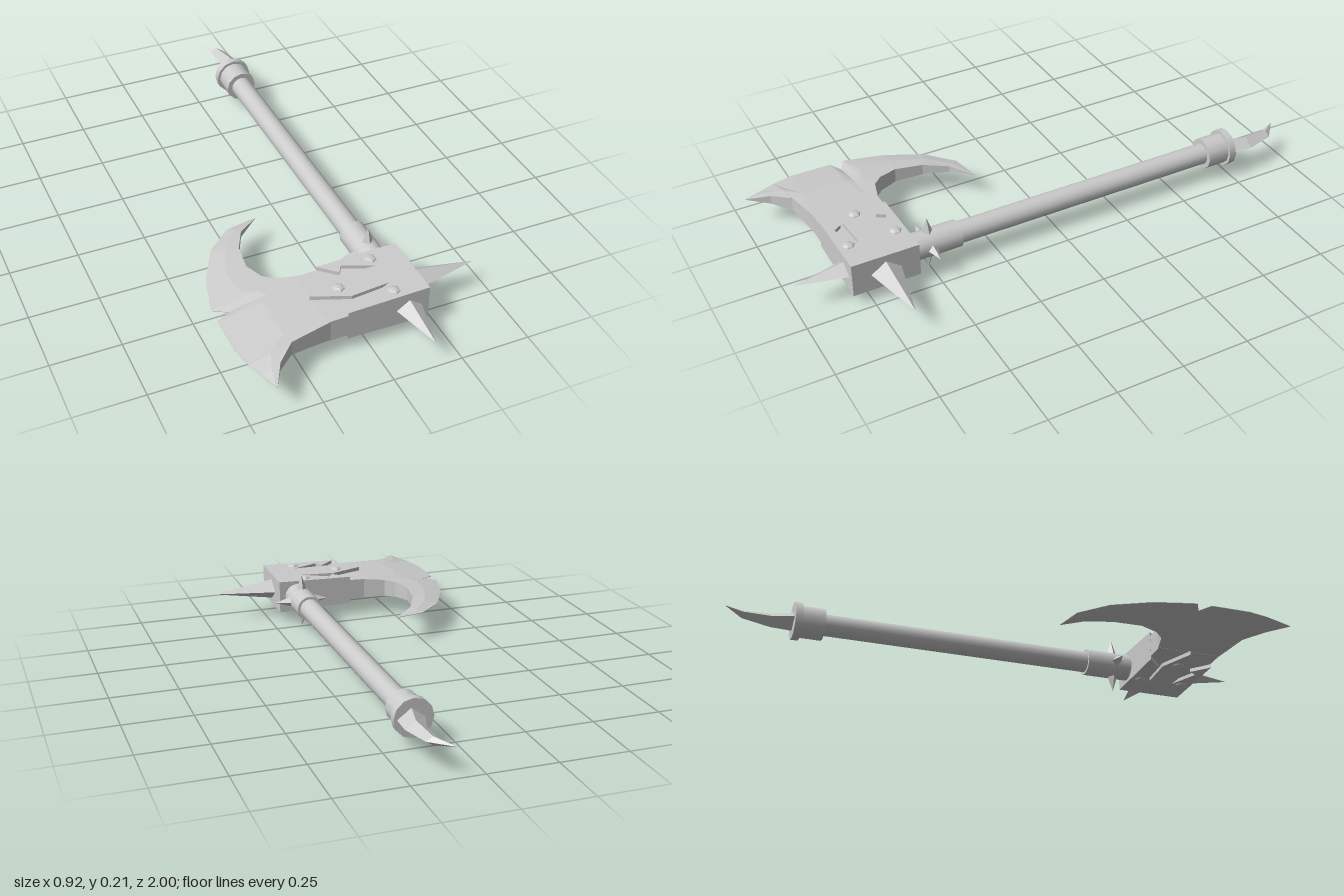
import * as THREE from 'three';

const Y = 0.11;    // height of the weapon's middle plane
const AX = 0.145;  // x of the handle axis
const flat = new THREE.MeshStandardMaterial({ color: 0xcccccc, flatShading: true });
const smooth = new THREE.MeshStandardMaterial({ color: 0xcccccc });

// Closed skin over sections (lists of [x, y, z]) that run anticlockwise seen from the last one
function loft(sections) {
  const pos = [];
  const tri = (a, b, c) => pos.push(...a, ...b, ...c);
  const n = sections[0].length;
  for (let i = 0; i < sections.length - 1; i++) {
    const a = sections[i], b = sections[i + 1];
    for (let j = 0; j < n; j++) {
      const k = (j + 1) % n;
      tri(a[j], a[k], b[k]);
      tri(a[j], b[k], b[j]);
    }
  }
  const first = sections[0], last = sections[sections.length - 1];
  for (let j = 1; j < n - 1; j++) {
    tri(first[0], first[j + 1], first[j]);
    tri(last[0], last[j], last[j + 1]);
  }
  const g = new THREE.BufferGeometry();
  g.setAttribute('position', new THREE.Float32BufferAttribute(pos, 3));
  g.computeVertexNormals();
  return g;
}

export function createModel() {
  const root = new THREE.Group();
  const add = (name, geometry, material = flat) => {
    const m = new THREE.Mesh(geometry, material);
    m.name = name;
    root.add(m);
    return m;
  };

  // Round parts along the handle axis
  const rod = (name, r, z0, z1, sides) =>
    add(name, new THREE.CylinderGeometry(r, r, z1 - z0, sides).rotateX(Math.PI / 2)
      .translate(AX, Y, (z0 + z1) / 2), smooth);
  rod('handle', 0.04, -0.66, 0.42, 16);
  rod('headCollar', 0.05, 0.39, 0.6, 16);
  rod('pommel', 0.059, -0.74, -0.64, 12);
  rod('pommelRim', 0.07, -0.752, -0.725, 12);

  // Curved pommel horn: [x, z, half width, half height]
  const horn = [[0.152, -0.74, 0.05, 0.038], [0.168, -0.83, 0.037, 0.027],
    [0.152, -0.935, 0.024, 0.015], [0.1, -1, 0.001, 0.001]];
  add('pommelHorn', loft(horn.map(([x, z, w, h]) =>
    [[x - w, Y, z], [x, Y + h, z], [x + w, Y, z], [x, Y - h, z]])));

  // Blade ribs: [cutting edge x, z, inner edge x, z, inner half thickness]
  const ribs = [
    [-0.141, 0.178, -0.14, 0.181, 0.001],
    [-0.255, 0.2, -0.22, 0.245, 0.012],
    [-0.35, 0.285, -0.265, 0.335, 0.021],
    [-0.42, 0.42, -0.28, 0.44, 0.027],
    [-0.447, 0.52, -0.255, 0.51, 0.031],
    [-0.457, 0.56, -0.22, 0.545, 0.034],
    [-0.46, 0.577, -0.14, 0.568, 0.039],
    [-0.41, 0.603, -0.14, 0.6, 0.039],
    [-0.46, 0.63, -0.14, 0.63, 0.039],
    [-0.46, 0.78, -0.14, 0.815, 0.039],
    [-0.443, 0.86, -0.29, 0.84, 0.028],
    [-0.422, 0.92, -0.355, 0.9, 0.017],
    [-0.401, 0.98, -0.399, 0.979, 0.001],
  ];
  const edge = 0.001;
  add('blade', loft(ribs.map(([ox, oz, ix, iz, h]) => {
    const mx = (ox + ix) / 2, mz = (oz + iz) / 2, mh = h * 0.72;
    return [[ox, Y + edge, oz], [ox, Y - edge, oz], [mx, Y - mh, mz],
      [ix, Y - h, iz], [ix, Y + h, iz], [mx, Y + mh, mz]];
  })));

  // Wedge-shaped core of the head
  const core = [[-0.15, 0.039], [0.215, 0.052]];
  add('headCore', loft(core.map(([x, h]) =>
    [[x, Y - h, 0.568], [x, Y + h, 0.568], [x, Y + h, 0.815], [x, Y - h, 0.815]])));

  // Notched cheek plates, thinning toward the blade
  const half = [[0.218, 0.567], [-0.08, 0.567], [-0.02, 0.625], [0, 0.595], [0.105, 0.645], [-0.033, 0.637]];
  const outline = [...half, [-0.16, 0.692], ...half.map(([x, z]) => [x, 1.384 - z]).reverse()];
  const plateHeight = x => 0.0535 + (x + 0.16) * 0.026;
  const plates = new THREE.ExtrudeGeometry(
    new THREE.Shape(outline.map(p => new THREE.Vector2(...p))), { depth: 2, bevelEnabled: false });
  plates.translate(0, 0, -1).rotateX(Math.PI / 2);
  const p = plates.attributes.position;
  for (let i = 0; i < p.count; i++) p.setY(i, Y + Math.sign(p.getY(i)) * plateHeight(p.getX(i)));
  plates.computeVertexNormals();
  add('cheekPlates', plates);

  // Rivets on both cheeks
  for (const side of [1, -1]) {
    for (const [x, z] of [[0.103, 0.605], [-0.057, 0.692], [0.103, 0.779]]) {
      const rivet = add('rivet', new THREE.SphereGeometry(0.024, 6, 3, Math.PI / 6, Math.PI * 2, 0, Math.PI / 2));
      rivet.scale.y = 0.45;
      rivet.position.set(x, Y + side * (plateHeight(x) - 0.002), z);
      if (side < 0) rivet.rotation.x = Math.PI;
    }
  }

  // Four-sided spikes: base point, direction, length, two half widths
  const spike = (name, base, dir, length, a, b) => {
    const m = add(name, new THREE.ConeGeometry(1, 1, 4).translate(0, 0.5, 0).scale(a, length, b));
    m.position.set(...base);
    m.quaternion.setFromUnitVectors(new THREE.Vector3(0, 1, 0), new THREE.Vector3(...dir));
  };
  spike('backSpike', [0.215, Y, 0.692], [1, 0, 0], 0.242, 0.04, 0.056);
  spike('topSpike', [AX, Y, 0.81], [0, 0, 1], 0.19, 0.048, 0.034);
  for (const d of [[1, 0, 0], [-1, 0, 0], [0, 1, 0], [0, -1, 0]])
    spike('collarSpike', [AX + d[0] * 0.04, Y + d[1] * 0.04, 0.505], d, 0.067, 0.022, 0.022);

  return root;
}
